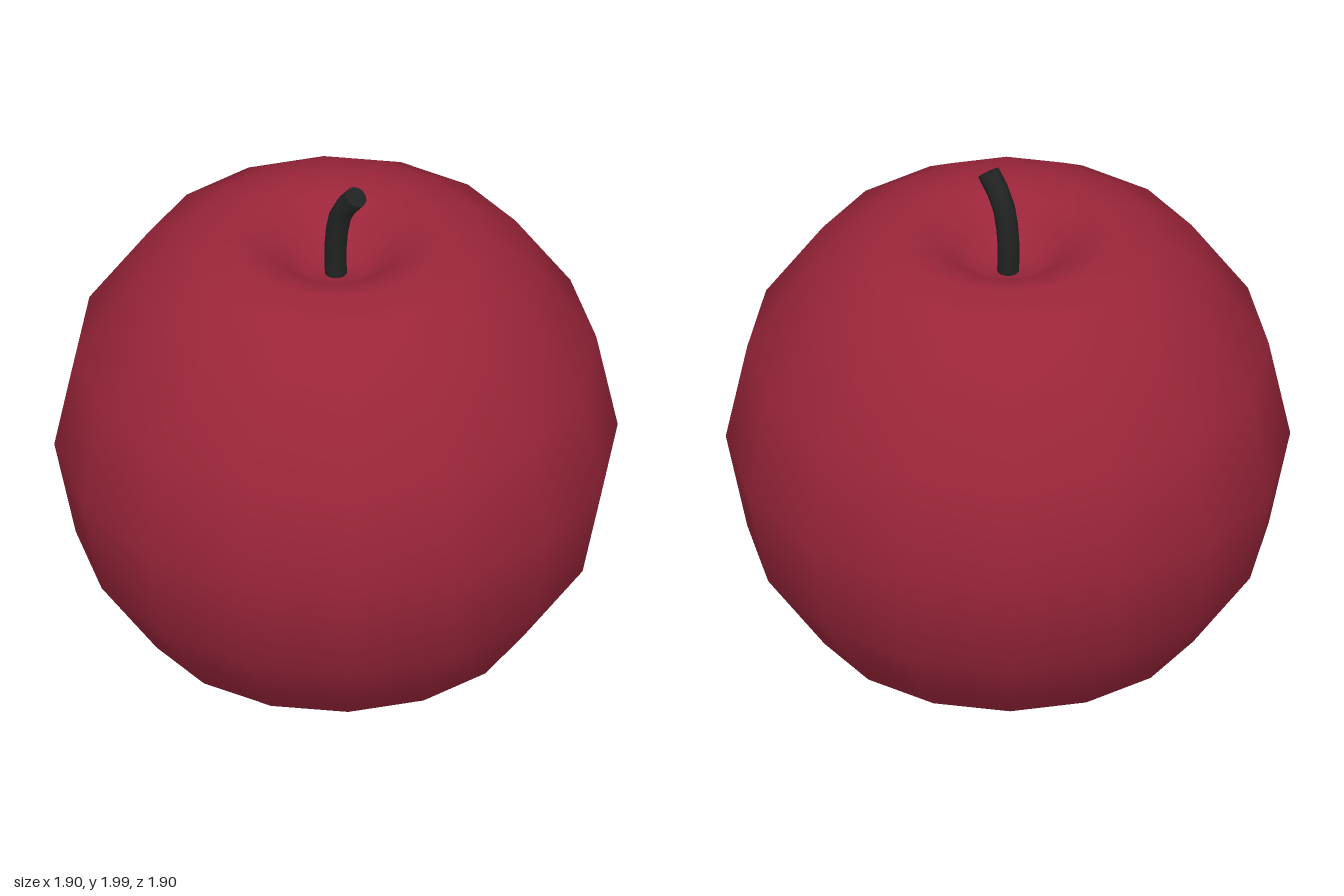
import * as THREE from 'three';

export function createModel() {
  const model = new THREE.Group();
  const red = new THREE.MeshStandardMaterial({ color: 0x9b253a });
  red.name = 'apple red';
  const dark = new THREE.MeshStandardMaterial({ color: 0x212323 });
  dark.name = 'stem black';

  // Fruit: round 16-sided body, rising from the bottom pole
  const R = 0.95, cy = 0.955;
  const profile = [];
  for (let i = 0; i <= 6; i++) {
    const a = (i * Math.PI) / 8;
    profile.push(new THREE.Vector2(R * Math.sin(a), cy - R * Math.cos(a)));
  }
  // Shoulder and the hollow around the stem
  for (const [r, y] of [[0.5, 1.745], [0.364, 1.78], [0.26, 1.76], [0.18, 1.69], [0.1, 1.635], [0, 1.615]]) {
    profile.push(new THREE.Vector2(r, y));
  }
  const fruit = new THREE.Mesh(new THREE.LatheGeometry(profile, 16), red);
  fruit.name = 'fruit';
  model.add(fruit);

  // Stem: bent tube leaning to +x
  const stem = new THREE.Group();
  stem.name = 'stem';
  const path = new THREE.CatmullRomCurve3([
    new THREE.Vector3(0, 1.59, 0),
    new THREE.Vector3(0, 1.76, 0),
    new THREE.Vector3(0.027, 1.885, 0),
    new THREE.Vector3(0.092, 1.974, 0),
  ]);
  const radius = 0.038;
  const stalk = new THREE.Mesh(new THREE.TubeGeometry(path, 6, radius, 12), dark);
  stalk.name = 'stalk';
  stem.add(stalk);

  // Flat cut end
  const cap = new THREE.Mesh(new THREE.CircleGeometry(radius, 12), dark);
  cap.name = 'stemTip';
  cap.position.copy(path.getPoint(1));
  cap.quaternion.setFromUnitVectors(new THREE.Vector3(0, 0, 1), path.getTangent(1));
  stem.add(cap);
  model.add(stem);

  return model;
}
